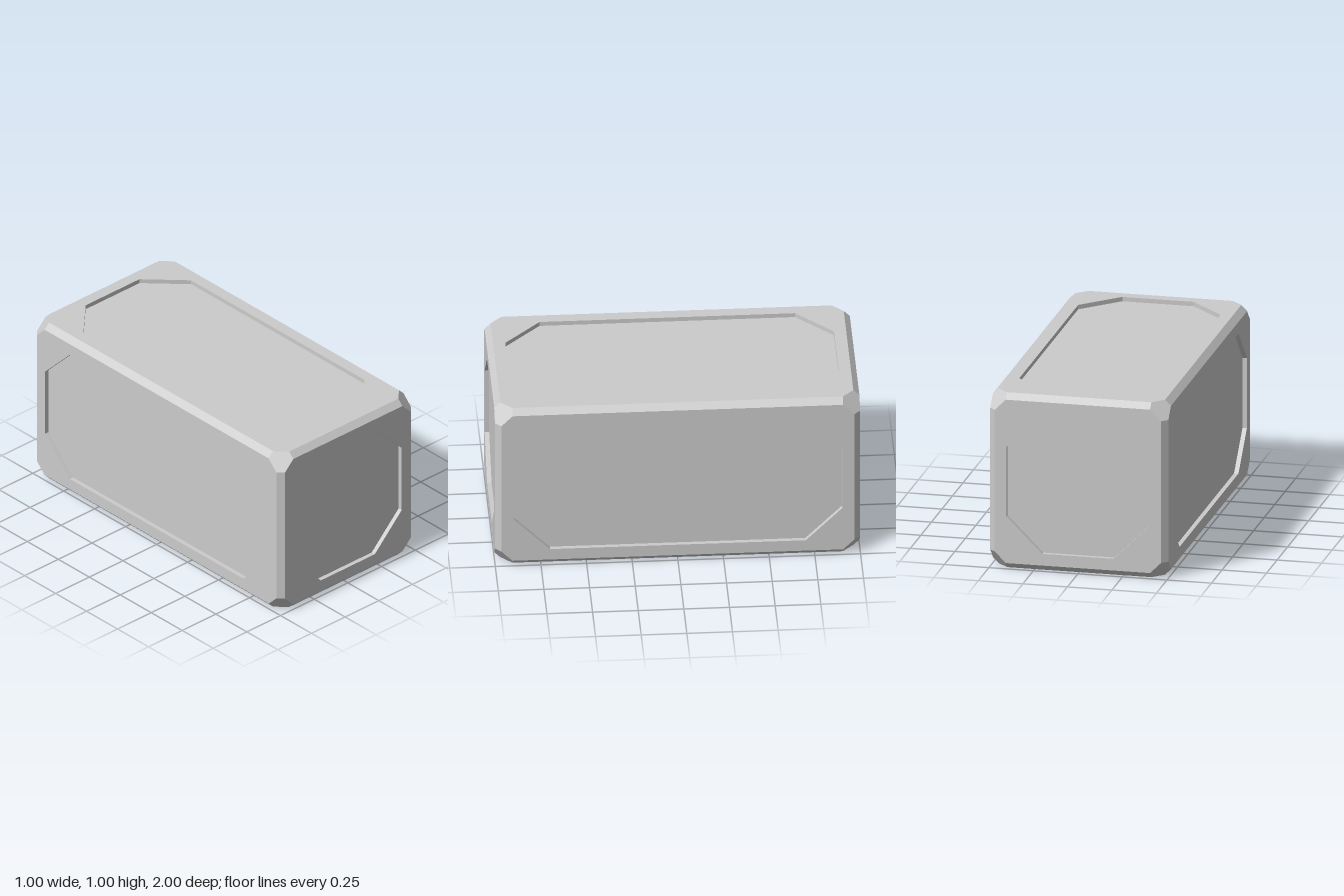
import * as THREE from 'three';

const HALF = [0.5, 0.5, 1];   // half extents in x, y, z
const BEVEL = 0.033;          // edge bevel
const CORNER = 0.095;         // corner cut, measured along the edges
const MARGIN = 0.1;           // border around each recess
const CUT = 0.2;              // recess corner cut
const DEPTH = 0.025;          // recess depth

const material = new THREE.MeshStandardMaterial({ color: 0xcccccc, flatShading: true });

// Mesh from a list of convex polygons, each drawn as a fan
function polygonMesh(name, polygons) {
  const positions = [];
  for (const p of polygons) {
    for (let i = 1; i < p.length - 1; i++) positions.push(...p[0], ...p[i], ...p[i + 1]);
  }
  const geometry = new THREE.BufferGeometry();
  geometry.setAttribute('position', new THREE.Float32BufferAttribute(positions, 3));
  geometry.computeVertexNormals();
  const mesh = new THREE.Mesh(geometry, material);
  mesh.name = name;
  return mesh;
}

// Rectangle with cut corners, counter-clockwise
function octagon(a, b, cut) {
  return [
    [a, cut - b], [a, b - cut], [a - cut, b], [cut - a, b],
    [-a, b - cut], [-a, cut - b], [cut - a, -b], [a - cut, -b],
  ];
}

// Quads joining two matching loops
function strip(outer, inner) {
  return outer.map((p, i) => {
    const j = (i + 1) % outer.length;
    return [p, outer[j], inner[j], inner[i]];
  });
}

// Turns a polygon so that it faces away from the centre
function outward(polygon) {
  const [a, b, c] = polygon.map((p) => new THREE.Vector3(...p));
  const normal = b.clone().sub(a).cross(c.clone().sub(a));
  return normal.dot(a) < 0 ? polygon.reverse() : polygon;
}

// One side of the block: bevelled border, recess walls and sunken panel
function side(axis, sign, name) {
  const u = (axis + 1) % 3;
  const v = (axis + 2) % 3;
  const place = (loop, height) => loop.map(([x, y]) => {
    const p = [0, 0, 0];
    p[u] = x;
    p[v] = y * sign;
    p[axis] = height * sign;
    return p;
  });
  const h = HALF[axis];
  const rim = octagon(HALF[u] - BEVEL, HALF[v] - BEVEL, CORNER - BEVEL);
  const hole = octagon(HALF[u] - MARGIN, HALF[v] - MARGIN, CUT);
  const top = place(hole, h);
  const floor = place(hole, h - DEPTH);

  const group = new THREE.Group();
  group.name = name;
  group.add(
    polygonMesh('border', strip(place(rim, h), top)),
    polygonMesh('recessWalls', strip(top, floor)),
    polygonMesh('recessedPanel', [floor]),
  );
  return group;
}

export function createModel() {
  const model = new THREE.Group();
  model.name = 'panelledBlock';
  const block = new THREE.Group();
  block.name = 'block';
  block.position.y = HALF[1];
  model.add(block);

  // Six sides
  const names = [['leftSide', 'rightSide'], ['topSide', 'bottomSide'], ['frontSide', 'backSide']];
  names.forEach(([plus, minus], axis) => {
    block.add(side(axis, 1, plus), side(axis, -1, minus));
  });

  // Twelve edge bevels
  const edges = [];
  for (let w = 0; w < 3; w++) {
    const a = (w + 1) % 3;
    const b = (w + 2) % 3;
    for (const sa of [-1, 1]) for (const sb of [-1, 1]) {
      const point = (end, insetA, insetB) => {
        const p = [0, 0, 0];
        p[w] = end * (HALF[w] - CORNER);
        p[a] = sa * (HALF[a] - insetA);
        p[b] = sb * (HALF[b] - insetB);
        return p;
      };
      edges.push(outward([
        point(-1, 0, BEVEL), point(1, 0, BEVEL), point(1, BEVEL, 0), point(-1, BEVEL, 0),
      ]));
    }
  }
  block.add(polygonMesh('edgeBevels', edges));

  // Eight hexagonal corner facets
  const insets = [
    [0, BEVEL, CORNER], [BEVEL, 0, CORNER], [CORNER, 0, BEVEL],
    [CORNER, BEVEL, 0], [BEVEL, CORNER, 0], [0, CORNER, BEVEL],
  ];
  const corners = [];
  for (const sx of [-1, 1]) for (const sy of [-1, 1]) for (const sz of [-1, 1]) {
    const signs = [sx, sy, sz];
    corners.push(outward(insets.map((inset) => inset.map((d, i) => signs[i] * (HALF[i] - d)))));
  }
  block.add(polygonMesh('cornerFacets', corners));

  return model;
}
